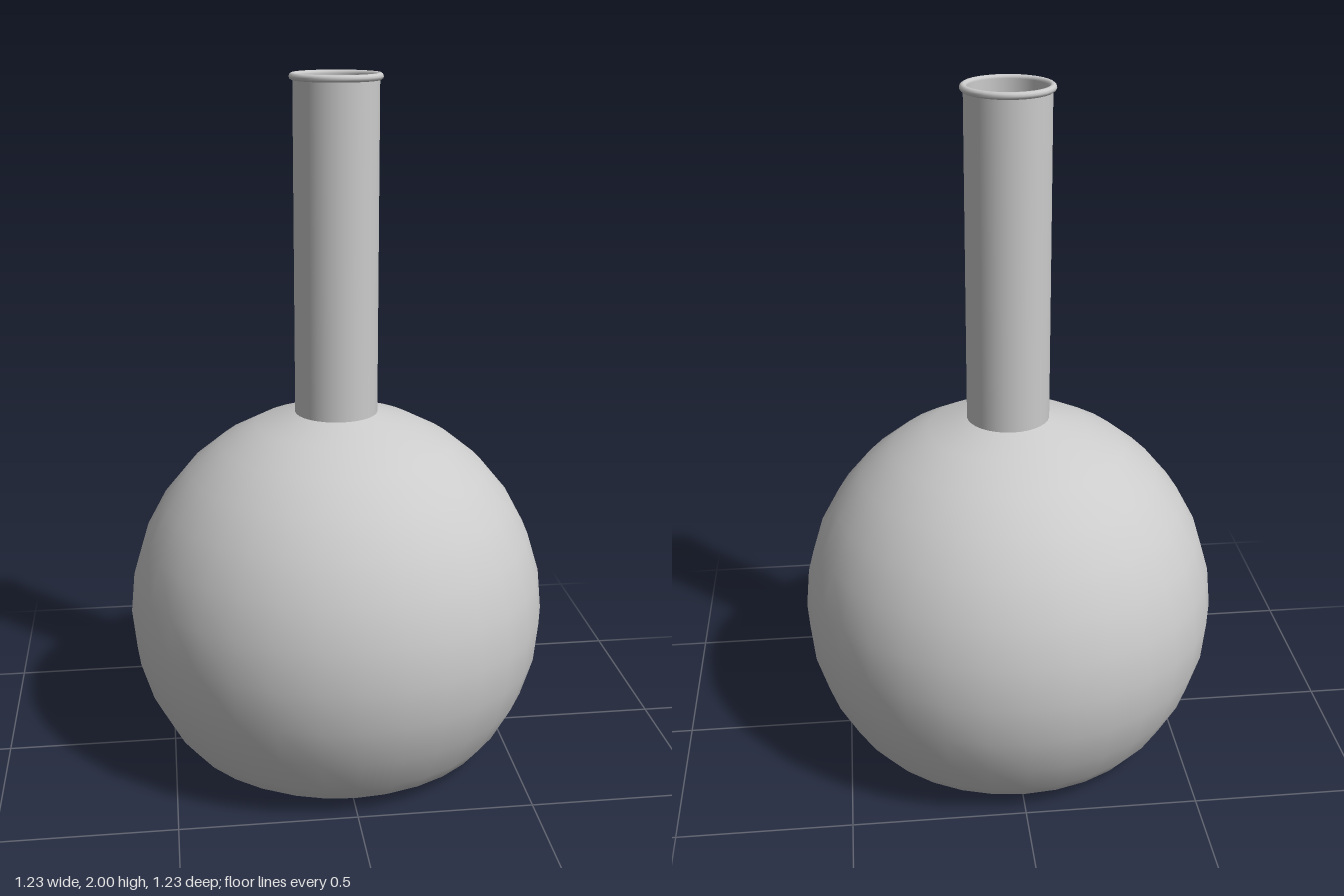
import * as THREE from 'three';

const SEGMENTS = 32;
const STEP = Math.PI / 16; // latitude step of the bulb
const CENTRE_Y = 0.437;
const NECK_R = 0.12;
const WALL = 0.01;

const glass = new THREE.MeshStandardMaterial({ color: 0xcccccc });

// Revolve [radius, height] pairs; upward order faces outward, downward inward
function lathe(name, pairs) {
  const points = pairs.map(([r, y]) => new THREE.Vector2(r, y));
  const mesh = new THREE.Mesh(new THREE.LatheGeometry(points, SEGMENTS), glass);
  mesh.name = name;
  return mesh;
}

// Bulb profile: flat base, rounded foot, then a sphere up to the neck
function bulbProfile(radius, floorY, neckR) {
  const inset = floorY;
  const profile = [
    [0, floorY], [0.36 - inset, floorY], [0.38 - inset, floorY + 0.001],
    [0.425 - inset, floorY + 0.014], [0.47 - inset, floorY + 0.044],
  ];
  for (let i = -3; i <= 6; i++) {
    profile.push([radius * Math.cos(i * STEP), CENTRE_Y + radius * Math.sin(i * STEP)]);
  }
  profile.push([neckR, CENTRE_Y + Math.sqrt(radius * radius - neckR * neckR)]);
  return profile;
}

export function createModel() {
  const flask = new THREE.Group();
  flask.name = 'flask';

  // Outer shell
  const outer = bulbProfile(0.615, 0, NECK_R);
  const neckBase = outer[outer.length - 1][1];
  flask.add(lathe('bulb', outer));
  flask.add(lathe('neck', [[NECK_R, neckBase], [NECK_R, 1.99]]));

  // Inner shell, facing the hollow
  const inner = bulbProfile(0.615 - WALL, WALL, NECK_R - WALL);
  const innerTop = inner[inner.length - 1][1];
  flask.add(lathe('bulbInterior', inner.reverse()));
  flask.add(lathe('neckInterior', [[NECK_R - WALL, 1.99], [NECK_R - WALL, innerTop]]));

  // Rounded lip around the mouth
  const lip = new THREE.Mesh(new THREE.TorusGeometry(NECK_R, WALL, 10, SEGMENTS), glass);
  lip.name = 'lip';
  lip.rotation.x = Math.PI / 2;
  lip.position.y = 1.99;
  flask.add(lip);

  return flask;
}
